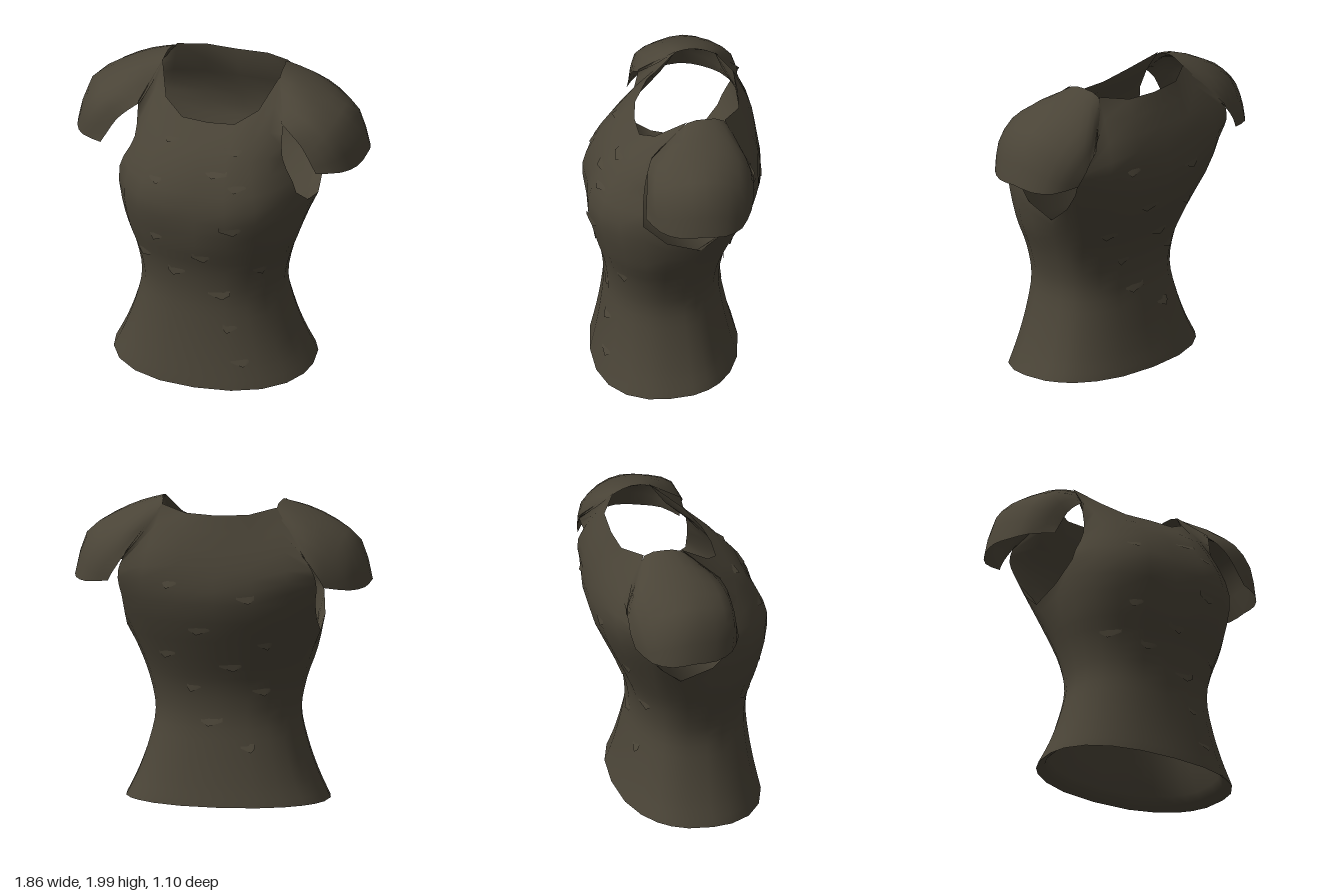
import * as THREE from 'three';
import { mergeGeometries } from 'three/addons/utils/BufferGeometryUtils.js';

const V = (p) => new THREE.Vector3(...p);
const leather = new THREE.MeshStandardMaterial({ color: 0x4a4437, side: THREE.DoubleSide });
leather.name = 'dark olive leather';

// Surface through columns of points; columns may be shorter than their neighbours
function skin(cols, { closed = false, flip = false } = {}) {
  const pos = [], idx = [], start = [];
  cols.forEach((c) => {
    start.push(pos.length / 3);
    c.forEach((p) => pos.push(p.x, p.y, p.z));
  });
  const n = cols.length;
  for (let i = 0; i < (closed ? n : n - 1); i++) {
    const k = (i + 1) % n;
    for (let j = 0; j < Math.min(cols[i].length, cols[k].length) - 1; j++) {
      const a = start[i] + j, b = start[k] + j;
      if (flip) idx.push(a, b + 1, b, a, a + 1, b + 1);
      else idx.push(a, b, b + 1, a, b + 1, a + 1);
    }
  }
  const g = new THREE.BufferGeometry();
  g.setAttribute('position', new THREE.Float32BufferAttribute(pos, 3));
  g.setIndex(idx);
  g.computeVertexNormals();
  return g;
}

// Inner layer: pushed inwards everywhere except along the open edges, where it meets the outside
function liningGeometry(outer, thickness) {
  const idx = [...outer.index.array], edges = new Set(), rim = new Set();
  const each = (visit) => idx.forEach((a, i) => visit(a, idx[i % 3 === 2 ? i - 2 : i + 1]));
  each((a, b) => edges.add(`${a},${b}`));
  each((a, b) => { if (!edges.has(`${b},${a}`)) rim.add(a).add(b); });
  const g = outer.clone(), p = g.attributes.position, n = outer.attributes.normal;
  for (let i = 0; i < p.count; i++) {
    if (rim.has(i)) continue;
    p.setXYZ(i, p.getX(i) - n.getX(i) * thickness, p.getY(i) - n.getY(i) * thickness,
      p.getZ(i) - n.getZ(i) * thickness);
  }
  g.setIndex(idx.reverse());
  g.computeVertexNormals();
  return g;
}

// Spline with a fixed number of steps between neighbouring control points
const spline = (pts, steps) => new THREE.CatmullRomCurve3(pts).getPoints((pts.length - 1) * steps);
const mirrored = (p) => new THREE.Vector3(-p.x, p.y, p.z);

function part(name, geometry) {
  const m = new THREE.Mesh(geometry, leather);
  m.name = name;
  return m;
}

// Torso rings below the armholes: height, half width, front z, back z
const rings = [
  [0, 0.64, 0.51, -0.41], [0.2, 0.565, 0.47, -0.37], [0.4, 0.495, 0.44, -0.325],
  [0.6, 0.455, 0.425, -0.295], [0.8, 0.49, 0.45, -0.32], [1.0, 0.56, 0.51, -0.4],
];

// Torso columns from front centre to back centre: angle, then points above the rings
const columns = [
  [0, [0, 1.28, 0.525], [0, 1.55, 0.42], [0, 1.74, 0.23]],
  [18, [0.2, 1.28, 0.54], [0.17, 1.55, 0.42], [0.17, 1.745, 0.215]],
  [37, [0.38, 1.29, 0.475], [0.31, 1.57, 0.36], [0.3, 1.82, 0.13]],
  [56, [0.5, 1.3, 0.365], [0.41, 1.58, 0.29], [0.38, 1.97, -0.06]],
  [74, [0.575, 1.33, 0.225], [0.48, 1.55, 0.21], [0.47, 1.78, 0.165]],
  [88, [0.605, 1.21, 0.08]],
  [104, [0.61, 1.15, -0.13]],
  [117, [0.605, 1.26, -0.26]],
  [128, [0.61, 1.38, -0.34], [0.62, 1.55, -0.42], [0.56, 1.69, -0.47]],
  [143, [0.46, 1.38, -0.47], [0.45, 1.6, -0.5], [0.36, 1.96, -0.3]],
  [161, [0.24, 1.38, -0.53], [0.23, 1.62, -0.52], [0.2, 1.93, -0.4]],
  [180, [0, 1.38, -0.55], [0, 1.62, -0.52], [0, 1.92, -0.41]],
];

function ringPoint([y, w, front, back], degrees) {
  const a = THREE.MathUtils.degToRad(degrees), c = Math.cos(a);
  const z = (front + back) / 2 + ((front - back) / 2) * Math.sign(c) * Math.abs(c) ** 0.87;
  const hem = y === 0 ? 0.06 * (1 - ((1 + c) / 2) ** 2) : 0;
  return new THREE.Vector3(w * Math.abs(Math.sin(a)) ** 0.87, y + hem, z);
}

function torsoGeometry() {
  const half = columns.map(([angle, ...upper]) =>
    spline([...rings.map((r) => ringPoint(r, angle)), ...upper.map(V)], 3));
  const other = half.slice(1, -1).reverse().map((c) => c.map(mirrored));
  return skin([...half, ...other], { closed: true });
}

// Cap sleeve sections, shoulder to rim, each running front to back over the arm
const sleeveSections = [
  [[0.46, 1.77, 0.165], [0.41, 1.865, 0.05], [0.38, 1.965, -0.065], [0.375, 1.985, -0.18],
    [0.36, 1.955, -0.295], [0.445, 1.82, -0.38], [0.55, 1.69, -0.465]],
  [[0.53, 1.72, 0.195], [0.54, 1.83, 0.12], [0.52, 1.92, -0.02], [0.52, 1.935, -0.16],
    [0.52, 1.9, -0.31], [0.55, 1.79, -0.42], [0.59, 1.64, -0.46]],
  [[0.6, 1.65, 0.205], [0.67, 1.77, 0.16], [0.69, 1.83, 0.02], [0.7, 1.85, -0.14],
    [0.69, 1.82, -0.29], [0.67, 1.72, -0.42], [0.63, 1.58, -0.46]],
  [[0.66, 1.55, 0.215], [0.78, 1.64, 0.17], [0.84, 1.7, 0.03], [0.86, 1.73, -0.14],
    [0.83, 1.69, -0.29], [0.77, 1.6, -0.4], [0.66, 1.53, -0.45]],
  [[0.7, 1.48, 0.22], [0.84, 1.47, 0.14], [0.91, 1.465, 0.02], [0.93, 1.48, -0.13],
    [0.91, 1.465, -0.26], [0.83, 1.465, -0.37], [0.68, 1.49, -0.44]],
];

function sleeveGeometry(side) {
  const arcs = sleeveSections.map((s) => spline(s.map(V), 2));
  const cols = arcs[0].map((_, i) => spline(arcs.map((a) => a[i]), 2));
  return side > 0 ? skin(cols, { flip: true }) : skin(cols.map((c) => c.map(mirrored)));
}

// Small lifted scales scattered over chest and back: x, y
const frontScales = [
  [-0.2, 1.64], [0.2, 1.62], [0.12, 1.5], [-0.27, 1.42], [0.26, 1.43], [0.23, 1.15], [-0.26, 1.02],
  [0.03, 0.91], [-0.37, 0.83], [0.37, 0.81], [-0.14, 0.77], [0.13, 0.63], [0.2, 0.4], [0.27, 0.18],
];
const backScales = [
  [0.28, 1.5], [-0.2, 1.42], [0.1, 1.2], [-0.3, 1.1], [0.32, 1.02], [-0.08, 0.95], [0.16, 0.8],
  [-0.26, 0.78], [0.05, 0.58], [-0.18, 0.42],
];

function scalesGeometry(torso) {
  const ray = new THREE.Raycaster(), flaps = [];
  const add = (list, side) => list.forEach(([x, y], i) => {
    ray.set(new THREE.Vector3(x, y, 2 * side), new THREE.Vector3(0, 0, -side));
    const hit = ray.intersectObject(torso)[0];
    if (!hit) return;
    const n = hit.face.normal.clone();
    const across = new THREE.Vector3(0, 1, 0).cross(n).normalize();
    const down = across.clone().cross(n).normalize();
    if (down.y > 0) down.negate();
    const at = (a, d, lift) => hit.point.clone()
      .addScaledVector(across, a).addScaledVector(down, d).addScaledVector(n, lift);
    const w = 0.045 + 0.012 * (i % 3), lean = 0.02 * ((i % 2) * 2 - 1);
    flaps.push(skin([
      [at(-w, 0, 0.002), at(-w, -0.03, -0.003)],
      [at(lean, 0.03, 0.012), at(lean, -0.03, -0.003)],
      [at(w, 0, 0.002), at(w, -0.03, -0.003)],
    ], { flip: true }));
  });
  add(frontScales, 1);
  add(backScales, -1);
  return mergeGeometries(flaps);
}

export function createModel() {
  const model = new THREE.Group();
  model.name = 'sleevedBodyArmour';
  const torso = part('torso', torsoGeometry());
  model.add(torso, part('torsoLining', liningGeometry(torso.geometry, 0.035)));
  [['left', 1], ['right', -1]].forEach(([name, side]) => {
    const sleeve = sleeveGeometry(side);
    model.add(part(`${name}Sleeve`, sleeve));
    model.add(part(`${name}SleeveLining`, liningGeometry(sleeve, 0.025)));
  });
  model.add(part('raisedScales', scalesGeometry(torso)));
  return model;
}
